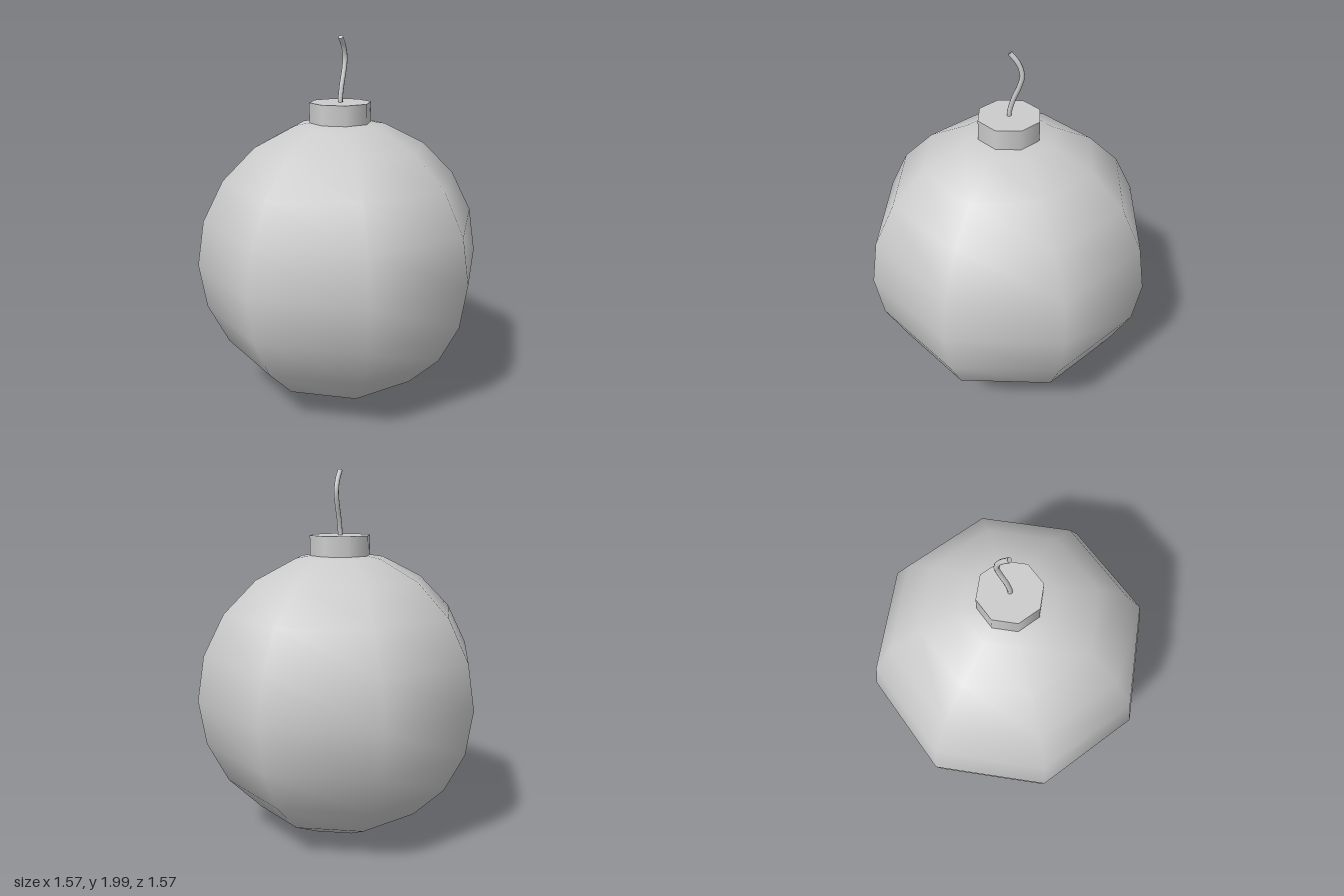
import * as THREE from 'three';

export function createModel() {
  const group = new THREE.Group();
  const material = new THREE.MeshStandardMaterial({ color: 0xcccccc });
  const add = (name, geometry, x = 0, y = 0, z = 0) => {
    const mesh = new THREE.Mesh(geometry, material);
    mesh.name = name;
    mesh.position.set(x, y, z);
    group.add(mesh);
    return mesh;
  };

  // Eight-sided ball, smoothly shaded
  const radius = 0.785;
  add('body', new THREE.SphereGeometry(radius, 8, 10), 0, radius + 0.005, 0);

  // Short collar sunk slightly into the ball
  const collarTop = 1.655;
  const collarHeight = 0.15;
  add('collar', new THREE.CylinderGeometry(0.167, 0.167, collarHeight, 8), 0, collarTop - collarHeight / 2, 0);

  // Fuse bending towards +x and -z, then back to the middle: [bend, height]
  const bend = [[0, 1.63], [0, 1.67], [0.018, 1.74], [0.05, 1.82], [0.064, 1.88], [0.045, 1.94], [0.002, 1.99]];
  const path = new THREE.CatmullRomCurve3(
    bend.map(([b, y]) => new THREE.Vector3(b * 0.55, y, -b * 0.84))
  );
  const fuseRadius = 0.013;
  add('fuse', new THREE.TubeGeometry(path, 18, fuseRadius, 8));

  // Cap closing the free end of the fuse
  const tip = path.getPoint(1);
  const cap = add('fuseTip', new THREE.CircleGeometry(fuseRadius, 8), tip.x, tip.y, tip.z);
  cap.lookAt(tip.clone().add(path.getTangent(1)));

  return group;
}
